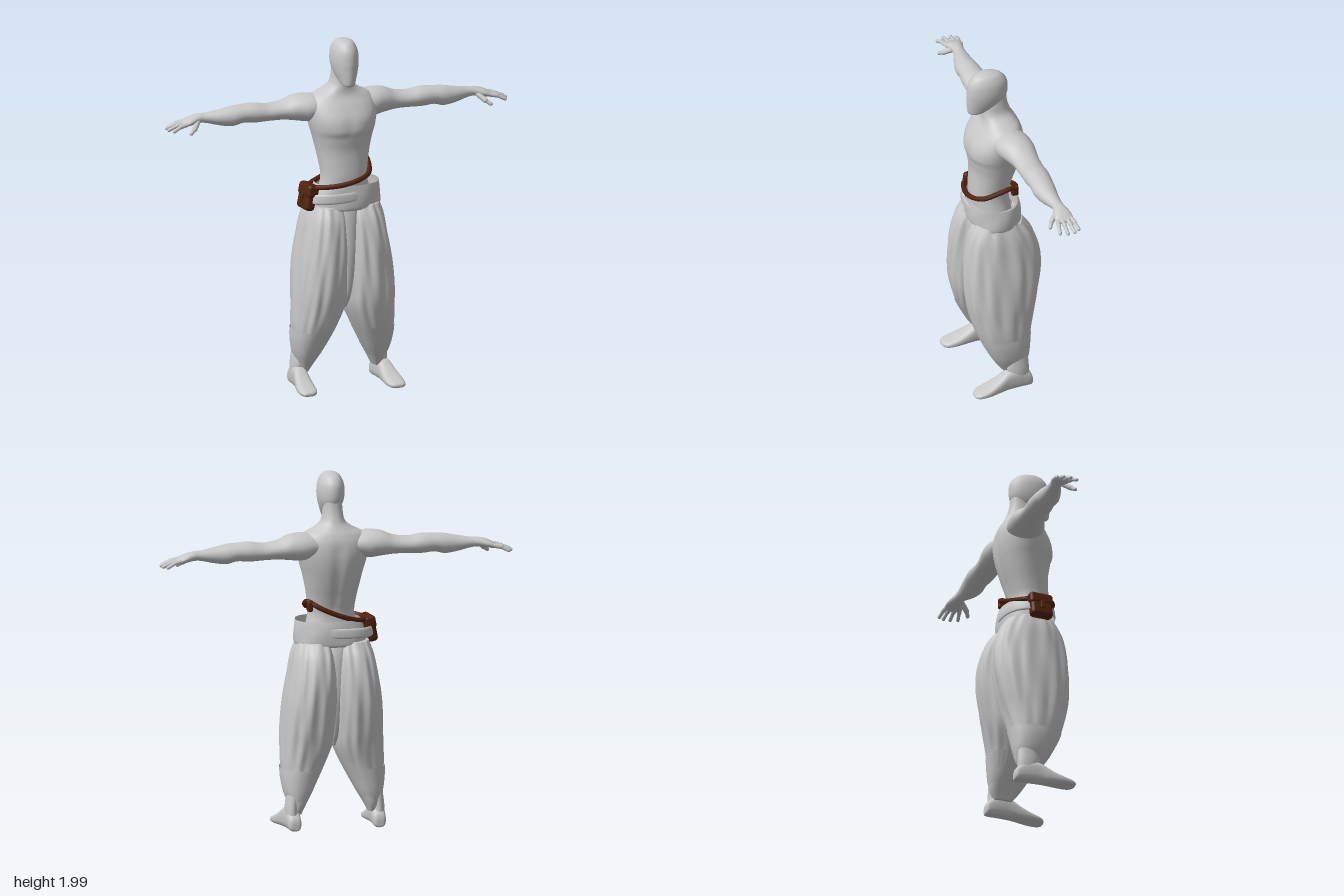
import * as THREE from 'three';
import { RoundedBoxGeometry } from 'three/addons/geometries/RoundedBoxGeometry.js';

const grey = new THREE.MeshStandardMaterial({ color: 0xc8c8c8 });
grey.name = 'light grey';
const cloth = new THREE.MeshStandardMaterial({ color: 0xc8c8c8, side: THREE.DoubleSide });
cloth.name = 'cloth grey';
const leather = new THREE.MeshStandardMaterial({ color: 0x52220d });
leather.name = 'brown leather';
const ramp = THREE.MathUtils.smoothstep;

// Smooth spline through rows of numbers
function refine(rows, steps) {
  const out = [], n = rows.length;
  for (let i = 0; i < n - 1; i++) {
    const a = rows[Math.max(i - 1, 0)], b = rows[i], c = rows[i + 1], d = rows[Math.min(i + 2, n - 1)];
    for (let k = 0; k < steps; k++) {
      const t = k / steps;
      out.push(b.map((v, j) => v + 0.5 * t * (c[j] - a[j] + t * (2 * a[j] - 5 * v + 4 * c[j] - d[j] + t * (3 * (v - c[j]) + d[j] - a[j])))));
    }
  }
  out.push(rows[n - 1]);
  return out;
}

// Loft along an axis. Row: [t, a0, a1, b0, b1], the extents of a rounded section at t, with t rising.
function loft(rows, { axis = 'y', side = 1, power = 1, open = false, sides = 40, steps = 5, fold = () => 1 } = {}) {
  const place = {
    x: (t, a, b) => [t * side, a, b],
    y: (t, a, b) => [a * side, t, b],
    z: (t, a, b) => [a * side, b, t],
  }[axis];
  const rings = refine(rows, steps), pos = [], idx = [];
  const bend = (v) => Math.sign(v) * Math.abs(v) ** power;
  for (const [t, a0, a1, b0, b1] of rings) {
    for (let j = 0; j < sides; j++) {
      const q = (j / sides) * Math.PI * 2, f = fold(q, t);
      pos.push(...place(t, (a0 + a1) / 2 + (a1 - a0) / 2 * bend(Math.cos(q)) * f,
        (b0 + b1) / 2 + (b1 - b0) / 2 * bend(Math.sin(q)) * f));
    }
  }
  for (let i = 0; i < rings.length - 1; i++) {
    for (let j = 0; j < sides; j++) {
      const a = i * sides + j, b = i * sides + (j + 1) % sides;
      idx.push(a, a + sides, b, b, a + sides, b + sides);
    }
  }
  if (!open) {
    [0, rings.length - 1].forEach((i) => {
      const [t, a0, a1, b0, b1] = rings[i], c = pos.length / 3;
      pos.push(...place(t, (a0 + a1) / 2, (b0 + b1) / 2));
      for (let j = 0; j < sides; j++) {
        const p = i * sides + j, q = i * sides + (j + 1) % sides;
        idx.push(c, ...(i ? [q, p] : [p, q]));
      }
    });
  }
  // Turn every face outward for this axis and side
  if ((axis === 'y') !== (side > 0)) {
    for (let i = 0; i < idx.length; i += 3) [idx[i], idx[i + 1]] = [idx[i + 1], idx[i]];
  }
  const g = new THREE.BufferGeometry();
  g.setAttribute('position', new THREE.Float32BufferAttribute(pos, 3));
  g.setIndex(idx);
  g.computeVertexNormals();
  return g;
}

function add(parent, name, geometry, material) {
  const m = new THREE.Mesh(geometry, material);
  m.name = name;
  parent.add(m);
  return m;
}

// Capsule between two points
function bone(parent, name, from, to, r) {
  const a = new THREE.Vector3(...from), b = new THREE.Vector3(...to), d = b.clone().sub(a);
  const m = add(parent, name, new THREE.CapsuleGeometry(r, d.length(), 5, 10), grey);
  m.position.copy(a).add(b).multiplyScalar(0.5);
  m.quaternion.setFromUnitVectors(new THREE.Vector3(0, 1, 0), d.normalize());
}

export function createModel() {
  const model = new THREE.Group();
  model.name = 'figure';
  const even = (rows) => rows.map(([y, w, z0, z1]) => [y, -w, w, z0, z1]);

  // Featureless head, neck and torso with soft chest and spine grooves
  add(model, 'head', loft(even([
    [1.728, 0.018, 0.09, 0.135], [1.738, 0.036, 0.05, 0.15], [1.775, 0.053, -0.025, 0.156], [1.82, 0.068, -0.068, 0.157],
    [1.87, 0.075, -0.079, 0.156], [1.925, 0.07, -0.072, 0.146], [1.965, 0.051, -0.04, 0.118], [1.98, 0.03, 0, 0.085], [1.985, 0.004, 0.03, 0.05],
  ])), grey);
  const muscle = (q, y) => {
    const centre = Math.exp(-((Math.cos(q) / 0.13) ** 2)), s = Math.sin(q);
    if (s < 0) return 1 - 0.06 * centre * ramp(y, 1.2, 1.3) * (1 - ramp(y, 1.55, 1.65));
    const chest = ramp(y, 1.435, 1.475) * (1 - ramp(y, 1.52, 1.64));
    return 1 + chest * s * s * (0.06 - 0.035 * centre);
  };
  add(model, 'torso', loft(even([
    [1.02, 0.17, -0.1, 0.12], [1.1, 0.15, -0.085, 0.13], [1.2, 0.13, -0.073, 0.14], [1.28, 0.137, -0.092, 0.138],
    [1.36, 0.152, -0.118, 0.136], [1.43, 0.168, -0.138, 0.146], [1.49, 0.185, -0.15, 0.15], [1.55, 0.197, -0.154, 0.138],
    [1.61, 0.197, -0.147, 0.108], [1.655, 0.168, -0.13, 0.078], [1.685, 0.112, -0.112, 0.068], [1.72, 0.067, -0.093, 0.066],
    [1.78, 0.054, -0.075, 0.06], [1.85, 0.05, -0.068, 0.04],
  ]), { power: 0.9, sides: 72, fold: muscle }), grey);

  for (const s of [1, -1]) {
    const label = s > 0 ? 'left' : 'right';

    // Muscled arm running out into the palm
    add(model, label + 'Arm', loft([
      [0.05, 1.56, 1.63, -0.11, 0.03], [0.12, 1.53, 1.657, -0.135, 0.056], [0.19, 1.512, 1.667, -0.15, 0.06], [0.26, 1.52, 1.661, -0.148, 0.037], [0.33, 1.528, 1.634, -0.14, 0.012],
      [0.41, 1.528, 1.624, -0.138, 0.004], [0.49, 1.525, 1.635, -0.14, 0.002], [0.56, 1.53, 1.632, -0.135, -0.004], [0.62, 1.517, 1.628, -0.132, -0.006],
      [0.69, 1.526, 1.615, -0.123, -0.022], [0.77, 1.545, 1.602, -0.117, -0.048], [0.81, 1.547, 1.6, -0.122, -0.05],
      [0.86, 1.539, 1.587, -0.136, -0.036], [0.9, 1.537, 1.565, -0.135, -0.034], [0.91, 1.542, 1.556, -0.12, -0.045],
    ], { axis: 'x', side: s, sides: 28 }), grey);

    // Four fingers and a thumb
    [[-0.124, 0.968, -0.14], [-0.099, 0.987, -0.11], [-0.072, 0.989, -0.07], [-0.047, 0.972, -0.03]].forEach(([z, tip, tz]) => {
      const mid = [s * (0.89 + tip) / 2, 1.546, (z + tz) / 2];
      bone(model, label + 'Finger', [s * 0.885, 1.555, z], mid, 0.012);
      bone(model, label + 'Finger', mid, [s * tip, 1.526, tz], 0.01);
    });
    bone(model, label + 'Thumb', [s * 0.82, 1.563, -0.062], [s * 0.855, 1.53, -0.022], 0.015);
    bone(model, label + 'Thumb', [s * 0.855, 1.53, -0.022], [s * 0.88, 1.512, -0.006], 0.011);

    // Bare lower leg and foot
    add(model, label + 'Shin', loft([
      [0.04, 0.205, 0.278, -0.118, -0.01], [0.12, 0.212, 0.28, -0.115, 0.012], [0.2, 0.2, 0.272, -0.112, 0.015], [0.3, 0.17, 0.265, -0.11, 0.04],
    ], { side: s, sides: 24 }), grey);
    add(model, label + 'Foot', loft([
      [-0.135, 0.22, 0.26, 0.012, 0.05], [-0.12, 0.205, 0.275, 0.003, 0.085], [-0.06, 0.203, 0.282, 0.003, 0.125], [0.01, 0.206, 0.288, 0.003, 0.122],
      [0.07, 0.204, 0.3, 0.002, 0.085], [0.13, 0.203, 0.31, 0, 0.055], [0.18, 0.21, 0.308, 0, 0.038], [0.205, 0.23, 0.295, 0.004, 0.028], [0.212, 0.25, 0.28, 0.01, 0.02],
    ], { axis: 'z', side: s, power: 0.75, sides: 28 }), grey);

    // Baggy pleated trouser leg, gathered at the ankle
    const pleat = (q, y) => {
      const fade = ramp(y, 0.15, 0.5);
      return 1 + fade * (0.022 * Math.sin(11 * q + 5 * y) + 0.013 * Math.sin(17 * q - 9 * y));
    };
    add(model, label + 'TrouserLeg', loft([
      [0.09, 0.19, 0.225, -0.09, 0.01], [0.14, 0.165, 0.25, -0.115, 0.05], [0.22, 0.12, 0.272, -0.127, 0.1], [0.35, 0.055, 0.286, -0.142, 0.158],
      [0.47, 0.006, 0.285, -0.168, 0.193], [0.58, -0.006, 0.28, -0.193, 0.212], [0.72, -0.012, 0.267, -0.214, 0.217], [0.85, -0.012, 0.247, -0.21, 0.208],
      [0.97, -0.012, 0.226, -0.175, 0.182], [1.05, 0.0, 0.2, -0.12, 0.14],
    ], { side: s, power: 0.88, sides: 96, steps: 7, fold: pleat }), grey);
    add(model, label + 'Cuff', loft([
      [0.12, 0.178, 0.245, -0.108, 0.035], [0.2, 0.13, 0.276, -0.128, 0.088], [0.28, 0.09, 0.29, -0.138, 0.13], [0.34, 0.06, 0.292, -0.145, 0.157],
    ], { side: s, power: 0.88, open: true }), cloth);
  }

  // Panel joining the trouser legs
  add(model, 'centrePanel', loft(even([
    [0.46, 0.01, -0.05, 0.07], [0.55, 0.035, -0.1, 0.125], [0.75, 0.06, -0.145, 0.158], [0.95, 0.075, -0.14, 0.155], [1.05, 0.09, -0.11, 0.14],
  ]), { power: 0.8 }), grey);

  // Wrapped waist sash, open at the top and drawn in behind the pouch
  const wrinkle = (q, y) => 1 + 0.01 * Math.sin(5 * q + 30 * y);
  add(model, 'sash', loft([
    [1.025, -0.19, 0.2, -0.125, 0.15], [1.04, -0.194, 0.21, -0.132, 0.156], [1.09, -0.185, 0.211, -0.132, 0.156], [1.14, -0.17, 0.208, -0.125, 0.153], [1.168, -0.158, 0.205, -0.118, 0.15],
  ], { power: 0.88, open: true, sides: 56, fold: wrinkle }), cloth);
  const wrap = add(model, 'sashWrap', loft([
    [1.075, -0.182, 0.208, -0.132, 0.156], [1.085, -0.188, 0.217, -0.137, 0.161], [1.12, -0.18, 0.215, -0.134, 0.159], [1.13, -0.172, 0.204, -0.126, 0.153],
  ], { power: 0.88, open: true, sides: 56 }), cloth);
  wrap.rotation.z = 0.04;

  // Slanted belt and buckle
  const beltPath = new THREE.CatmullRomCurve3([
    [-0.195, 1.155, 0.05], [-0.15, 1.165, 0.115], [-0.06, 1.176, 0.15], [0.05, 1.2, 0.15], [0.12, 1.222, 0.105], [0.15, 1.26, 0.02],
    [0.148, 1.278, -0.055], [0.09, 1.245, -0.095], [0, 1.205, -0.1], [-0.1, 1.17, -0.08], [-0.18, 1.155, -0.02],
  ].map((p) => new THREE.Vector3(...p)), true);
  add(model, 'belt', new THREE.TubeGeometry(beltPath, 120, 0.014, 8, true), leather);
  const buckle = add(model, 'buckle', new RoundedBoxGeometry(0.03, 0.06, 0.04, 3, 0.01), leather);
  buckle.position.set(0.145, 1.255, -0.07);

  // Hip pouch with flap
  const pouch = new THREE.Group();
  pouch.name = 'pouch';
  pouch.position.set(-0.212, 1.1, 0.03);
  pouch.rotation.set(0, 0.1, -0.2);
  add(pouch, 'pouchBag', new RoundedBoxGeometry(0.06, 0.145, 0.13, 4, 0.022), leather);
  const flap = add(pouch, 'pouchFlap', new RoundedBoxGeometry(0.068, 0.075, 0.14, 4, 0.02), leather);
  flap.position.y = 0.037;
  const clasp = add(pouch, 'pouchClasp', new RoundedBoxGeometry(0.012, 0.05, 0.025, 2, 0.004), leather);
  clasp.position.set(-0.034, -0.01, 0);
  model.add(pouch);

  return model;
}
